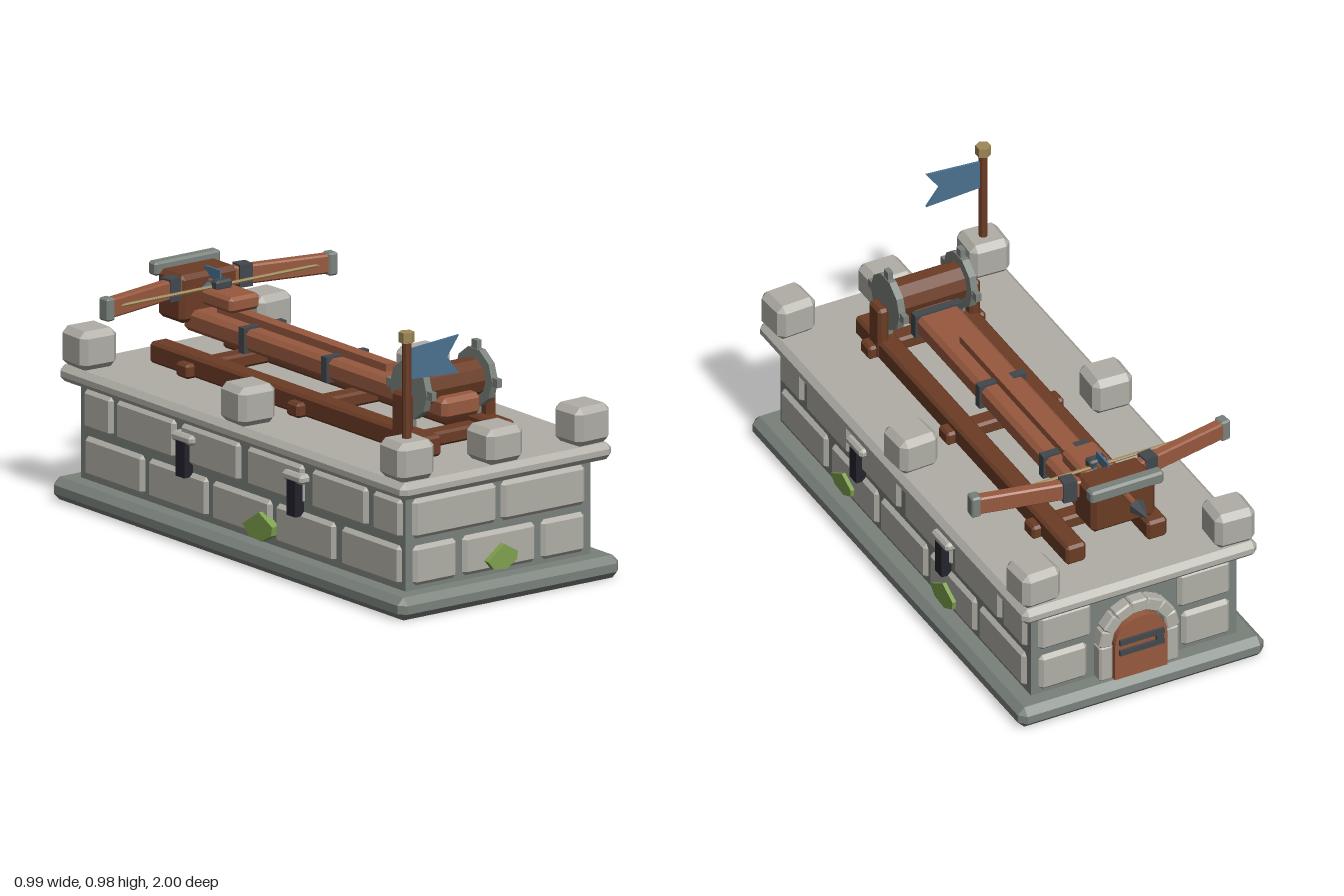
import * as THREE from 'three';
import { ConvexGeometry } from 'three/addons/geometries/ConvexGeometry.js';

const mat = (name, color, extra = {}) => {
  const m = new THREE.MeshStandardMaterial({ color, ...extra });
  m.name = name;
  return m;
};

export function createModel() {
  const stone = mat('lightStone', 0xb0aea6);
  const mortar = mat('darkStone', 0x7a817b, { flatShading: true });
  const darkWood = mat('darkWood', 0x6b3c25, { flatShading: true });
  const wood = mat('wood', 0x98593e);
  const iron = mat('iron', 0x42484d, { flatShading: true });
  const black = mat('slitBlack', 0x24232d);
  const blue = mat('blueCloth', 0x4b7190, { side: THREE.DoubleSide });
  const green = mat('moss', 0x7fa24e);
  const tan = mat('tan', 0xa08858, { flatShading: true });

  const model = new THREE.Group();
  const add = (name, geo, material, parent = model) => {
    const m = new THREE.Mesh(geo, material);
    m.name = name;
    parent.add(m);
    return m;
  };
  const group = (name) => {
    const g = new THREE.Group();
    g.name = name;
    model.add(g);
    return g;
  };

  // Chamfered box of the given size, centred on the origin
  const chamfer = (w, h, d, b) => {
    const pts = [];
    for (const x of [-1, 1]) for (const y of [-1, 1]) for (const z of [-1, 1]) {
      const v = [x * w / 2, y * h / 2, z * d / 2], s = [x, y, z];
      for (let k = 0; k < 3; k++) {
        pts.push(new THREE.Vector3(...v.map((c, i) => (i === k ? c : c - s[i] * b))));
      }
    }
    return new ConvexGeometry(pts);
  };
  // Box from min/max ranges; b = 0 gives sharp edges
  const block = (name, [x0, x1], [y0, y1], [z0, z1], b, material, parent) => {
    const w = x1 - x0, h = y1 - y0, d = z1 - z0;
    const m = add(name, b ? chamfer(w, h, d, b) : new THREE.BoxGeometry(w, h, d), material, parent);
    m.position.set((x0 + x1) / 2, (y0 + y1) / 2, (z0 + z1) / 2);
    return m;
  };
  const mirror = (s, [a, b]) => (s > 0 ? [a, b] : [-b, -a]);

  // Stone platform
  block('plinth', [-0.47, 0.47], [0, 0.08], [-0.97, 0.995], 0.025, mortar);
  block('wallCore', [-0.393, 0.393], [0.06, 0.43], [-0.895, 0.915], 0, mortar);
  block('topSlab', [-0.45, 0.45], [0.415, 0.475], [-0.955, 0.975], 0.02, stone);

  // Wall stones in two courses
  const walls = group('wallStones');
  const low = [0.095, 0.235], high = [0.26, 0.4];
  const course = (y, front, back, side) => {
    for (const r of front) block('frontStone', r, y, [0.87, 0.93], 0.014, stone, walls);
    for (const r of back) block('backStone', r, y, [-0.91, -0.85], 0.014, stone, walls);
    for (const s of [-1, 1]) for (const r of side) {
      block('sideStone', mirror(s, [0.35, 0.407]), y, r, 0.014, stone, walls);
    }
  };
  course(low, [[-0.365, -0.18], [-0.155, 0.155], [0.18, 0.365]],
    [[-0.365, -0.18], [0.18, 0.365]],
    [[0.565, 0.895], [0.2, 0.53], [-0.155, 0.175], [-0.51, -0.18], [-0.865, -0.535]]);
  course(high, [[-0.367, -0.01], [0.01, 0.367]], [[-0.367, -0.165], [0.165, 0.367]],
    [[0.74, 0.9], [0.4, 0.71], [0.04, 0.355], [-0.33, 0], [-0.69, -0.36], [-0.87, -0.71]]);

  // Battlement blocks
  const merlons = group('battlements');
  for (const s of [-1, 1]) for (const z of [-0.875, 0.01, 0.895]) {
    const m = add('merlon', chamfer(0.15, 0.137, 0.145, 0.022), stone, merlons);
    m.position.set(s * 0.373, 0.543, z);
    m.rotation.y = 0.05 * s;
  }
  add('frontMerlon', chamfer(0.152, 0.125, 0.15, 0.022), stone, merlons).position.set(0, 0.537, 0.895);

  // Arrow slits with lintels
  const slits = group('arrowSlits');
  for (const s of [-1, 1]) for (const z of [0.323, -0.295]) {
    block('slit', mirror(s, [0.38, 0.43]), [0.22, 0.345], [z - 0.025, z + 0.025], 0, black, slits);
    block('lintel', mirror(s, [0.38, 0.43]), [0.338, 0.372], [z - 0.057, z + 0.057], 0.01, stone, slits);
  }

  // Moss patches
  const patch = [[-0.065, -0.005], [-0.04, -0.035], [0.015, -0.042], [0.058, -0.015], [0.062, 0.014], [0.005, 0.047]];
  const moss = (x, y, z, turn, sx, sy) => {
    const shape = new THREE.Shape(patch.map(([a, b]) => new THREE.Vector2(a * sx, b * sy)));
    const m = add('mossPatch', new THREE.ExtrudeGeometry(shape, { depth: 0.03, bevelEnabled: false }), green);
    m.position.set(x, y, z);
    m.rotation.y = turn;
  };
  moss(-0.005, 0.142, 0.922, 0, 1, 1);
  moss(0.391, 0.138, 0.425, Math.PI / 2, 1.15, 0.9);
  moss(0.391, 0.135, -0.302, Math.PI / 2, 1.28, 1.05);
  moss(-0.394, 0.138, 0.13, -Math.PI / 2, 1.3, 1.12);

  // Arched door at the back
  const door = group('door');
  const leaf = new THREE.Shape();
  leaf.moveTo(-0.1, 0.08).lineTo(0.1, 0.08).lineTo(0.1, 0.215);
  leaf.absarc(0, 0.215, 0.1, 0, Math.PI, false);
  add('doorLeaf', new THREE.ExtrudeGeometry(leaf, { depth: 0.06, bevelEnabled: false, curveSegments: 10 }), wood, door)
    .position.z = -0.95;
  for (const s of [-1, 1]) {
    block('doorJamb', mirror(s, [0.1, 0.152]), [0.08, 0.222], [-0.94, -0.88], 0.008, stone, door);
  }
  for (let i = 0; i < 7; i++) {
    const a = (i + 0.5) * Math.PI / 7;
    const v = add('archStone', chamfer(0.05, 0.064, 0.06, 0.006), stone, door);
    v.position.set(Math.cos(a) * 0.127, 0.22 + Math.sin(a) * 0.127, -0.91);
    v.rotation.z = a;
  }
  block('doorStrap', [-0.085, 0.085], [0.222, 0.242], [-0.96, -0.94], 0, iron, door);
  block('doorBar', [-0.085, 0.085], [0.18, 0.2], [-0.96, -0.94], 0, iron, door);
  block('doorLatch', [-0.08, -0.055], [0.2, 0.222], [-0.962, -0.94], 0, iron, door);

  // Flag with swallow tail
  add('flagPole', new THREE.CylinderGeometry(0.016, 0.016, 0.34, 8), darkWood).position.set(-0.37, 0.78, 0.89);
  add('poleCap', new THREE.CylinderGeometry(0.027, 0.027, 0.036, 6), tan).position.set(-0.37, 0.966, 0.89);
  const cloth = new THREE.Shape([[-0.357, 0.815], [-0.15, 0.803], [-0.2, 0.868], [-0.15, 0.937], [-0.357, 0.922]]
    .map((p) => new THREE.Vector2(...p)));
  add('flag', new THREE.ExtrudeGeometry(cloth, { depth: 0.008, bevelEnabled: false }), blue).position.z = 0.886;

  // Carriage: rails, cross beams and winch posts
  const carriage = group('carriage');
  for (const s of [-1, 1]) {
    block('rail', mirror(s, [0.117, 0.193]), [0.475, 0.55], [-0.778, 0.758], 0.01, darkWood, carriage);
    block('winchPost', mirror(s, [0.155, 0.196]), [0.477, 0.68], [0.575, 0.655], 0.01, darkWood, carriage);
  }
  for (const z of [-0.557, 0.06, 0.625]) {
    block('crossBeam', [-0.225, 0.225], [0.475, 0.526], [z - 0.034, z + 0.034], 0.009, darkWood, carriage);
  }

  // Stock with slide, groove rail and iron bands
  const stock = group('stock');
  block('stockBeam', [-0.082, 0.082], [0.58, 0.657], [-0.74, 0.722], 0.016, wood, stock);
  block('grooveRail', [-0.023, 0.023], [0.65, 0.684], [-0.62, 0.32], 0, wood, stock);
  block('slideBlock', [-0.064, 0.064], [0.684, 0.74], [-0.66, -0.49], 0.012, wood, stock);
  for (const z of [0.527, 0.063, -0.397]) {
    block('stockBand', [-0.09, 0.09], [0.574, 0.664], [z - 0.015, z + 0.015], 0, iron, stock);
  }

  // Winch drum with toothed wheels
  const winch = group('winch');
  winch.position.set(0, 0.682, 0.614);
  add('drum', new THREE.CylinderGeometry(0.068, 0.068, 0.25, 10), darkWood, winch).rotation.z = Math.PI / 2;
  for (const s of [-1, 1]) {
    const wheel = new THREE.Group();
    wheel.name = 'winchWheel';
    wheel.position.x = s * 0.139;
    winch.add(wheel);
    add('wheelDisc', new THREE.CylinderGeometry(0.103, 0.103, 0.026, 10), mortar, wheel).rotation.z = Math.PI / 2;
    for (let i = 0; i < 4; i++) {
      const a = i * Math.PI / 2;
      const t = add('wheelTooth', new THREE.BoxGeometry(0.02, 0.05, 0.03), mortar, wheel);
      t.position.set(0, Math.cos(a) * 0.103, Math.sin(a) * 0.103);
      t.rotation.x = a;
    }
  }

  // Bow head, arms and string
  const bow = group('bow');
  block('bowHead', [-0.122, 0.122], [0.615, 0.783], [-0.83, -0.688], 0.016, darkWood, bow);
  block('headPlate', [-0.14, 0.14], [0.76, 0.808], [-0.855, -0.81], 0.008, mortar, bow);
  for (const s of [-1, 1]) {
    const arm = add('bowArm', chamfer(0.385, 0.067, 0.04, 0.006), wood, bow);
    arm.position.set(s * 0.295, 0.743, -0.679);
    arm.rotation.y = -s * 0.203;
    const cap = add('armCap', chamfer(0.037, 0.08, 0.047, 0.006), mortar, bow);
    cap.position.set(s * 0.475, 0.742, -0.641);
    cap.rotation.y = -s * 0.1;
    const clamp = add('armClamp', new THREE.BoxGeometry(0.05, 0.08, 0.05), iron, bow);
    clamp.position.set(s * 0.153, 0.743, -0.708);
    clamp.rotation.y = -s * 0.1;
  }
  add('bowString', new THREE.CylinderGeometry(0.006, 0.006, 0.94, 6), tan, bow).rotation.z = Math.PI / 2;
  bow.getObjectByName('bowString').position.set(0, 0.744, -0.638);

  // Loaded bolt
  const bolt = group('bolt');
  const shaft = add('boltShaft', new THREE.CylinderGeometry(0.012, 0.012, 0.32, 6), wood, bolt);
  shaft.rotation.x = Math.PI / 2;
  shaft.position.set(0, 0.75, -0.77);
  const tip = add('boltTip', new THREE.ConeGeometry(0.031, 0.08, 6), iron, bolt);
  tip.rotation.x = -Math.PI / 2;
  tip.position.set(0, 0.75, -0.96);
  block('trigger', [-0.034, 0.034], [0.735, 0.77], [-0.645, -0.605], 0.007, iron, bolt);
  for (let i = 0; i < 3; i++) {
    const a = i * 2 * Math.PI / 3;
    const f = add('fletching', new THREE.BoxGeometry(0.007, 0.045, 0.085), blue, bolt);
    f.position.set(Math.sin(a) * 0.026, 0.75 + Math.cos(a) * 0.026, -0.672);
    f.rotation.z = -a;
  }
  return model;
}
